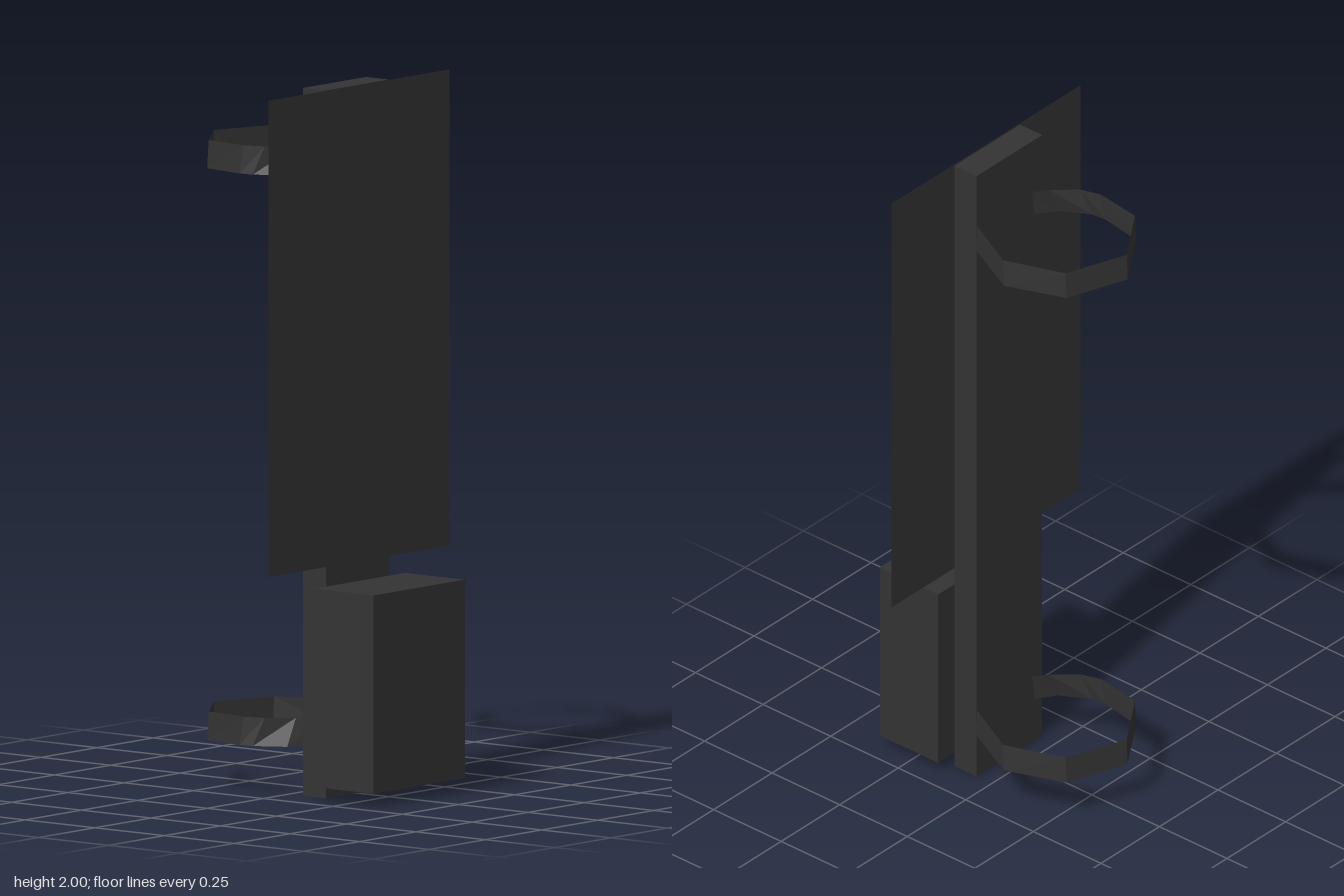
import * as THREE from 'three';

export function createModel() {
  const model = new THREE.Group();
  const dark = new THREE.MeshStandardMaterial({ color: 0x333333, flatShading: true, side: THREE.DoubleSide });
  dark.name = 'charcoal';

  const add = (name, geometry, x = 0, y = 0, z = 0) => {
    const mesh = new THREE.Mesh(geometry, dark);
    mesh.name = name;
    mesh.position.set(x, y, z);
    model.add(mesh);
  };

  // Upright post, sign panel and equipment box
  add('post', new THREE.BoxGeometry(0.082, 2, 0.28), 0.096, 1, 0);
  add('panel', new THREE.PlaneGeometry(0.806, 1.345).rotateY(Math.PI / 2), 0.142, 1.3275, 0);
  add('box', new THREE.BoxGeometry(0.215, 0.56, 0.406), 0.2505, 0.32, -0.001);

  // Slightly twisted strap: each row is top x, top z, bottom x, bottom z
  const path = [
    [0.07, -0.13, 0.07, -0.134], [-0.115, -0.223, -0.122, -0.227],
    [-0.291, -0.159, -0.295, -0.16], [-0.358, 0.025, -0.361, 0.024],
    [-0.243, 0.192, -0.247, 0.193], [-0.1, 0.212, -0.112, 0.217],
    [-0.04, 0.194, -0.068, 0.212], [0.025, 0.135, 0.017, 0.164],
    [0.07, 0.075, 0.07, 0.085],
  ];
  const strapGeometry = (height) => {
    const positions = [];
    const index = [];
    path.forEach(([tx, tz, bx, bz], i) => {
      positions.push(tx, height / 2, tz, bx, -height / 2, bz);
      const a = 2 * i;
      if (i < path.length - 1) index.push(a, a + 2, a + 1, a + 1, a + 2, a + 3);
    });
    const geometry = new THREE.BufferGeometry();
    geometry.setAttribute('position', new THREE.Float32BufferAttribute(positions, 3));
    geometry.setIndex(index);
    geometry.computeVertexNormals();
    return geometry;
  };
  add('lowerStrap', strapGeometry(0.08), 0, 0.178, 0);
  add('upperStrap', strapGeometry(0.08), 0, 1.792, 0);

  return model;
}
